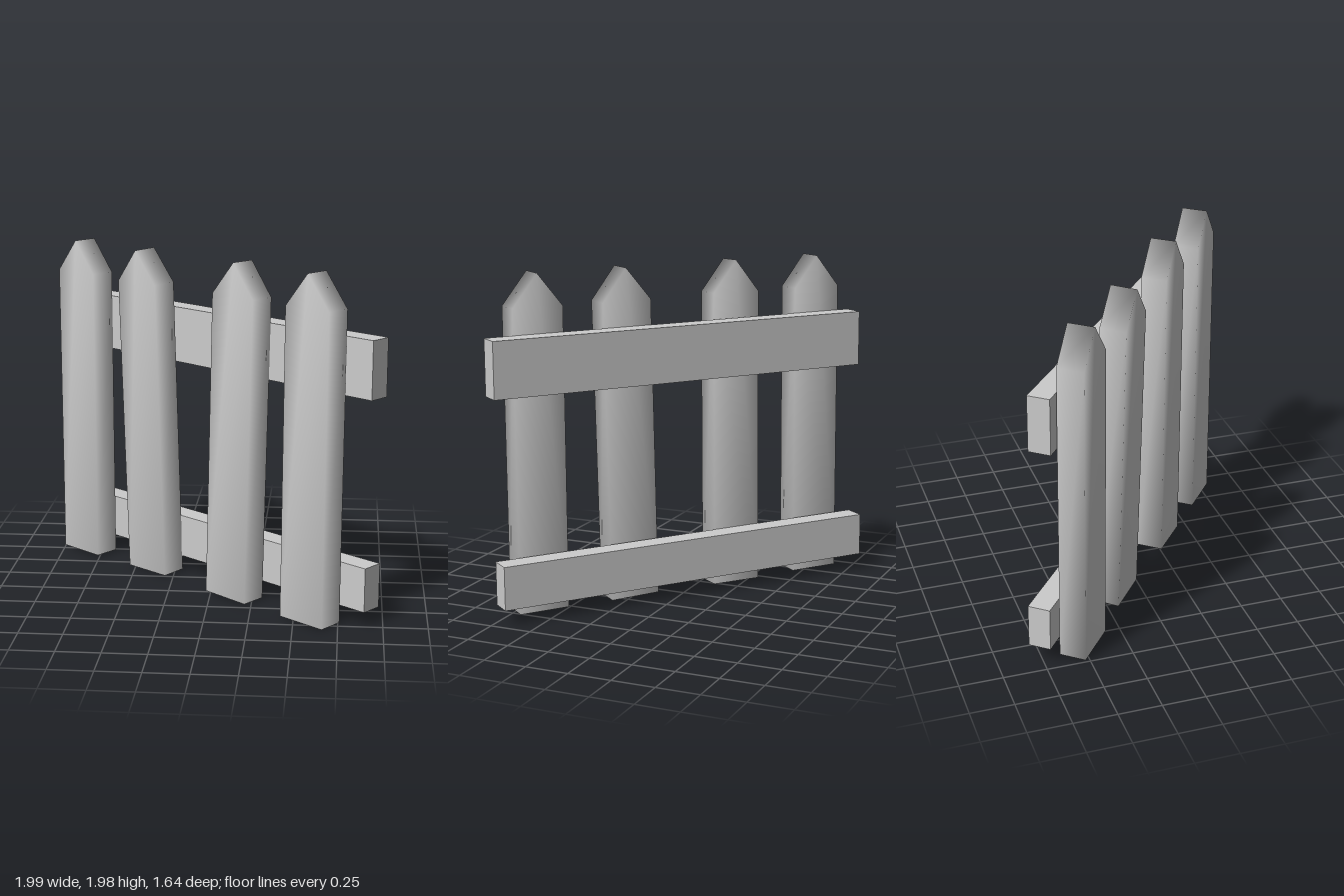
import * as THREE from 'three';
import { mergeVertices } from 'three/addons/utils/BufferGeometryUtils.js';

const material = new THREE.MeshStandardMaterial({ color: 0xcccccc });
const UP = new THREE.Vector3(0, 1, 0);

// Pointed board standing on y = 0, shaded softly around its edges
function picketGeometry(width, shoulder, height, depth) {
  const w = width / 2;
  const outline = new THREE.Shape();
  outline.moveTo(-w, 0);
  outline.lineTo(w, 0);
  outline.lineTo(w, shoulder);
  outline.lineTo(0, height);
  outline.lineTo(-w, shoulder);
  outline.closePath();
  const board = new THREE.ExtrudeGeometry(outline, { depth, bevelEnabled: false });
  board.translate(0, 0, -depth / 2);
  board.deleteAttribute('normal');
  board.deleteAttribute('uv');
  const smooth = mergeVertices(board);
  smooth.computeVertexNormals();
  return smooth;
}

export function createModel() {
  const model = new THREE.Group();
  model.name = 'picketFence';

  // Everything is laid out along x, then the whole fence is turned
  const fence = new THREE.Group();
  fence.name = 'fencePanel';
  fence.rotation.y = -0.675;
  model.add(fence);

  // Rails: centre x, y, z and height
  const rails = [
    ['upperRail', 0.019, 1.474, -0.009, 0.327],
    ['lowerRail', -0.012, 0.23, -0.023, 0.255],
  ];
  for (const [name, x, y, z, height] of rails) {
    const rail = new THREE.Mesh(new THREE.BoxGeometry(2.383, height, 0.13), material);
    rail.name = name;
    rail.position.set(x, y, z);
    rail.rotation.z = -0.005;
    fence.add(rail);
  }

  // Pickets: foot x, y, z, then shoulder x, z (each leans a little)
  const geometry = picketGeometry(0.305, 1.775, 1.966, 0.155);
  const pickets = [
    [-0.957, 0.016, 0.134, -0.949, 0.142],
    [-0.385, 0.013, 0.112, -0.399, 0.164],
    [0.29, 0.01, 0.139, 0.337, 0.133],
    [0.873, 0.007, 0.145, 0.886, 0.14],
  ];
  pickets.forEach(([x, y, z, topX, topZ], i) => {
    const picket = new THREE.Mesh(geometry, material);
    picket.name = `picket${i + 1}`;
    picket.position.set(x, y, z);
    const lean = new THREE.Vector3(topX - x, 1.775, topZ - z).normalize();
    picket.quaternion.setFromUnitVectors(UP, lean);
    fence.add(picket);
  });

  return model;
}
